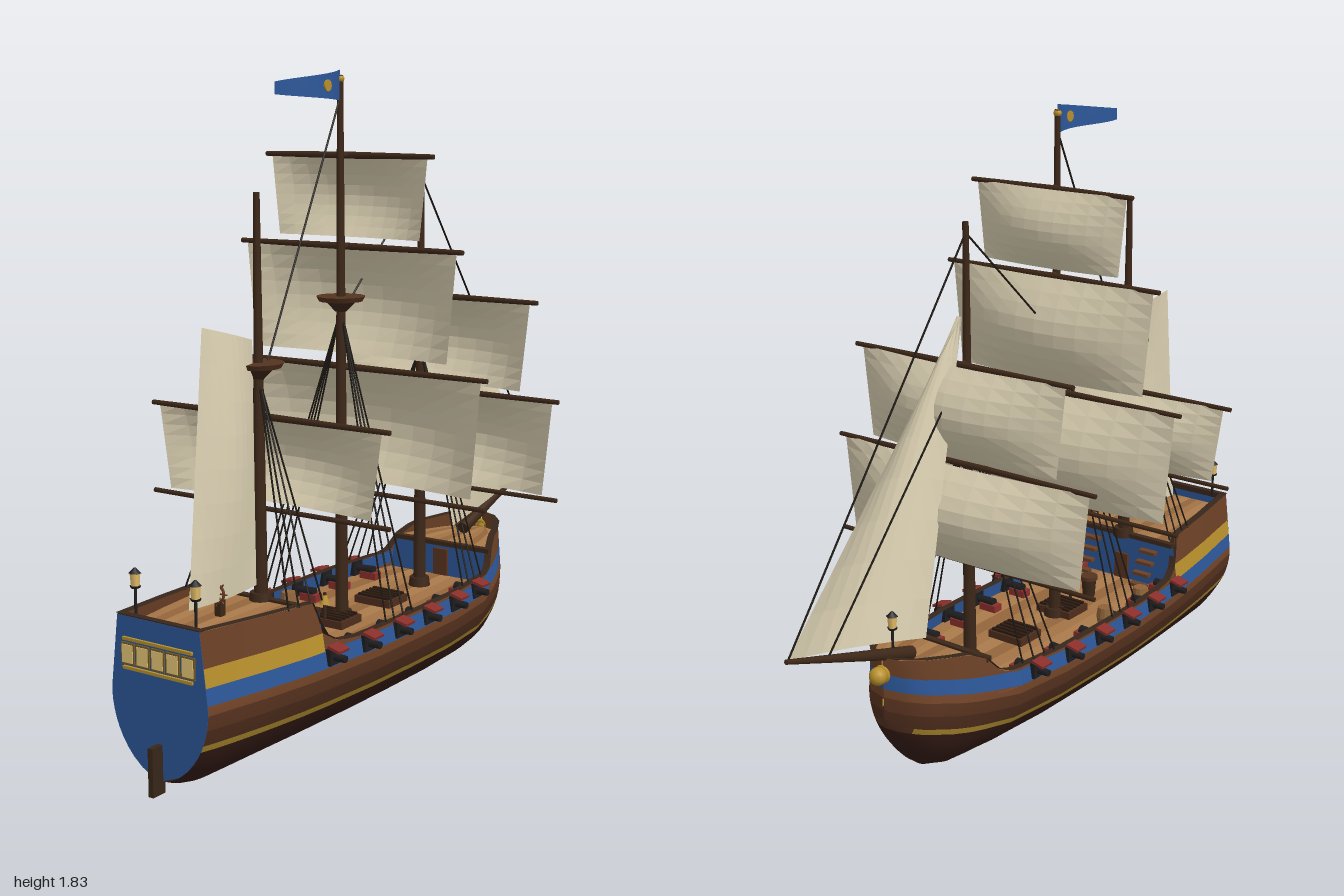
import * as THREE from 'three';

const WOOD = 0x3d2718, GOLD = 0xb8902c, BLUE = 0x2c5799, CANVAS = 0xddd2b4, ROPE = 0x1c1712, RED = 0x8a2f2a, IRON = 0x1e1e20;

// Piecewise-linear lookup over [z, value] pairs sorted by falling z
function lookup(table, z) {
  if (z >= table[0][0]) return table[0][1];
  for (let i = 1; i < table.length; i++) {
    const [z0, a] = table[i - 1], [z1, b] = table[i];
    if (z >= z1) return a + (b - a) * (z - z0) / (z1 - z0);
  }
  return table[table.length - 1][1];
}

// Hull lines: half beam, keel height, rail height and rise of the strakes at the bow
const BEAM = [[.96, .16], [.75, .193], [.5, .222], [.3, .238], [.1, .242], [-.1, .24], [-.3, .217], [-.4, .188], [-.5, .152], [-.58, .108], [-.62, .063], [-.64, .003]];
const KEEL = [[.96, .03], [.92, .012], [.87, 0], [-.44, 0], [-.5, .02], [-.55, .06], [-.6, .125], [-.63, .185], [-.64, .22]];
const SHEER = [[.96, .45], [.55, .43], [.535, .345], [.48, .312], [.4, .303], [-.33, .303], [-.36, .315], [-.4, .36], [-.45, .385], [-.64, .405]];
const RISE = [[.96, .012], [.6, 0], [-.3, 0], [-.45, .02], [-.64, .06]];
const keel = z => lookup(KEEL, z), sheer = z => lookup(SHEER, z);
function halfWidth(z, y) {
  const k = keel(z), t = THREE.MathUtils.clamp((y - k) / (.25 - k), 0, 1);
  const round = Math.pow(1 - (1 - t) ** 2, .6);
  return lookup(BEAM, z) * round * (1 - .75 * Math.max(0, y - .25));
}

export function createModel() {
  const root = new THREE.Group();
  const mats = new Map();
  const mat = (color, flat) => {
    const key = color + (flat ? 'f' : 's');
    if (!mats.has(key)) mats.set(key, new THREE.MeshStandardMaterial({ color, flatShading: !!flat, side: THREE.DoubleSide }));
    return mats.get(key);
  };
  const add = (name, geo, color, pos = [0, 0, 0], flat = false) => {
    const m = new THREE.Mesh(geo, mat(color, flat));
    m.name = name;
    m.position.set(...pos);
    root.add(m);
    return m;
  };
  const box = (name, w, h, d, color, pos) => add(name, new THREE.BoxGeometry(w, h, d), color, pos);
  const cyl = (name, r1, r2, h, color, pos, sides = 12) => add(name, new THREE.CylinderGeometry(r1, r2, h, sides), color, pos);
  // Grid surface whose points come from f(u, v), both 0..1
  const surface = (name, f, nu, nv, color, flat = false) => {
    const g = new THREE.PlaneGeometry(1, 1, nu, nv), p = g.attributes.position, uv = g.attributes.uv;
    for (let i = 0; i < p.count; i++) p.setXYZ(i, ...f(uv.getX(i), uv.getY(i)));
    g.computeVertexNormals();
    return add(name, g, color, [0, 0, 0], flat);
  };
  // Round bar from a to b
  const rod = (name, a, b, r1, r2, color, sides = 8) => {
    const A = new THREE.Vector3(...a), B = new THREE.Vector3(...b), d = B.clone().sub(A);
    const m = cyl(name, r2, r1, d.length(), color, A.clone().lerp(B, .5).toArray(), sides);
    m.quaternion.setFromUnitVectors(new THREE.Vector3(0, 1, 0), d.normalize());
    return m;
  };

  // Hull strakes: lower edge, upper edge, colour, z range
  const strakes = [
    ['bottomPlanking', 0, .125, 0x351c16, .96, -.64],
    ['lowerStripe', .125, .143, 0xa8862c, .96, -.6],
    ['lowerBowStripe', .125, .143, 0x55321f, -.6, -.64],
    ['sidePlanking', .143, .185, 0x4e2d1c, .96, -.64],
    ['upperPlanking', .185, .225, 0x5a3420, .96, -.64],
    ['wale', .225, .25, 0x744528, .96, -.64],
    ['blueStrake', .25, .295, BLUE, .96, -.64],
    ['quarterStripe', .295, .345, GOLD, .96, .535],
    ['quarterPlanking', .345, 1, 0x6b4025, .96, .535],
    ['bulwark', .295, 1, 0x6b4025, .535, -.64],
  ];
  for (const side of [-1, 1]) {
    for (const [name, lo, hi, color, z0, z1] of strakes) {
      surface(name, (u, v) => {
        const z = z0 + (z1 - z0) * u, k = keel(z), s = sheer(z), r = lookup(RISE, z);
        const a = lo ? THREE.MathUtils.clamp(lo + r, k, s) : k;
        const b = THREE.MathUtils.clamp(hi + r, k, s);
        const y = a + (b - a) * (lo ? v : v * v);
        return [side * halfWidth(z, y), y, z];
      }, Math.max(4, Math.ceil((z0 - z1) * 50)), lo ? 2 : 10, color);
    }
    // Capping rail, a rectangular section swept along the sheer
    surface('rail', (u, v) => {
      const z = .96 - 1.6 * v, s = sheer(z), drop = .015 + .2 * (s - .3), i = Math.round(u * 4) % 4;
      const x = halfWidth(z, s) + (i === 0 || i === 3 ? .006 : -.014);
      return [side * Math.max(0, x), s + (i < 2 ? (i === 0 ? -drop : .003) : (i === 2 ? -drop : .003)) * 1, z];
    }, 1, 80, 0x38261a, true);
    surface('railTop', (u, v) => {
      const z = .96 - 1.6 * v, s = sheer(z);
      return [side * Math.max(0, halfWidth(z, s) + .006 - .024 * u), s + .003, z];
    }, 1, 80, 0x38261a);
  }

  // Decks laid in planks of two tones, with bulkheads at the breaks
  const decks = [['poopDeck', .955, .537, .405], ['mainDeck', .537, -.39, .25], ['foreDeck', -.39, -.637, .355]];
  for (const [name, z0, z1, y] of decks)
    for (let i = 0; i < 10; i++)
      surface(name + 'Plank', (u, v) => {
        const z = z0 + (z1 - z0) * v;
        return [halfWidth(z, y) * ((i + u) / 5 - 1), y, z];
      }, 1, 20, [0xa37345, 0x94663b, 0xab7c4c][i % 3]);
  for (const [z, top] of [[.537, .405], [-.39, .355]]) {
    surface('bulkhead', (u, v) => {
      const y = .25 + (top - .25) * v;
      return [halfWidth(z, y) * (2 * u - 1), y, z];
    }, 4, 4, BLUE);
    box('deckBeam', 2 * halfWidth(z, top), .014, .02, WOOD, [0, top, z]);
    box('cabinDoor', .05, .085, .012, 0x5a3420, [0, .295, z + (z > 0 ? -.004 : .004)]);
  }

  // Transom with stern windows, trims and rudder
  const outline = new THREE.Shape(), rows = 18;
  for (let i = 0; i <= rows; i++) { const y = .03 + .42 * i / rows; outline.lineTo(halfWidth(.96, y), y); }
  for (let i = rows; i >= 0; i--) { const y = .03 + .42 * i / rows; outline.lineTo(-halfWidth(.96, y), y); }
  add('transom', new THREE.ExtrudeGeometry(outline, { depth: .004, bevelEnabled: false }), BLUE, [0, 0, .957]);
  for (let i = -2; i <= 2; i++) {
    box('sternWindowFrame', .044, .058, .006, 0x7a5c22, [i * .05, .352, .962]);
    box('sternWindow', .036, .048, .008, 0xe8c878, [i * .05, .352, .963]);
  }
  for (const y of [.315, .392]) box('sternTrim', .23, .008, .01, GOLD, [0, y, .963]);
  box('sternRail', .27, .018, .02, 0x38261a, [0, .444, .95]);
  box('rudder', .016, .13, .046, 0x38261a, [0, .065, .977]);

  // Masts, tops and bowsprit
  const masts = [
    { z: .16, base: .25, top: 1.81, nest: 1.19, foot: .31 },
    { z: .54, base: .4, top: 1.505, nest: 1.05, foot: .43 },
    { z: -.26, base: .25, top: 1.55, nest: 1.035, foot: .31 },
  ];
  for (const m of masts) {
    rod('mast', [0, m.base, m.z], [0, m.top, m.z], .02, .009, WOOD, 10);
    cyl('mastCollar', .03, .034, .03, WOOD, [0, m.base + .012, m.z]);
    cyl('mastTop', .07, .062, .014, 0x553420, [0, m.nest, m.z], 16);
    cyl('mastTopBracket', .045, .016, .03, WOOD, [0, m.nest - .022, m.z], 10);
    for (const side of [-1, 1]) for (const dz of [-.02, .025, .07, .11]) {
      const z = m.z + dz;
      rod('shroud', [0, m.nest - .03, m.z], [side * halfWidth(z, m.foot), m.foot, z], .0027, .0027, ROPE, 5);
    }
  }
  rod('bowsprit', [0, .375, -.52], [0, .528, -1], .02, .007, WOOD, 10);

  // Square sails: yard z, top, bottom, half widths, yard half length, belly
  const sails = [
    [.125, 1.59, 1.36, .265, .24, .285, .06], [.125, 1.335, 1.025, .36, .33, .38, .08], [.125, .99, .655, .44, .41, .46, .1],
    [-.29, 1.157, .89, .36, .33, .385, .085], [-.29, .87, .585, .44, .41, .46, .105], [.51, .905, .665, .375, .34, .4, .085],
  ];
  for (const [z, top, bot, wt, wb, yard, belly] of sails) {
    surface('squareSail', (u, v) => {
      const s = 2 * u - 1, w = wb + (wt - wb) * v;
      return [s * w, bot + (top - bot) * v, z - belly * (1 - s * s) * (.3 + .7 * Math.sin(Math.PI * v))];
    }, 10, 8, CANVAS, true);
    for (const side of [-1, 1]) rod('yard', [0, top, z], [side * yard, top, z], .01, .007, WOOD);
    rod('yardSling', [0, top, z], [0, top, z + .03], .008, .008, WOOD);
  }
  for (const [y, z, w] of [[.63, .125, .46], [.575, -.29, .46], [.652, .51, .4]])
    rod('lowerYard', [-w, y, z], [w, y, z], .007, .007, WOOD);

  // Fore-and-aft sails, corners given as [y, z]
  const mix = (a, b, t) => a + (b - a) * t;
  const foreAft = (name, c, belly, color = CANVAS) => surface(name, (u, v) => [
    belly * Math.sin(Math.PI * u) * Math.sin(Math.PI * mix(.12, .88, v)),
    mix(mix(c[0][0], c[1][0], u), mix(c[2][0], c[3][0], u), v),
    mix(mix(c[0][1], c[1][1], u), mix(c[2][1], c[3][1], u), v)], 8, 8, color, true);
  foreAft('spanker', [[.45, .56], [.45, .84], [1.12, .565], [1.175, .77]], .035);
  foreAft('jib', [[.395, -.455], [.53, -.995], [1.29, -.28], [1.29, -.285]], .045);

  // Stays
  for (const [a, b] of [
    [[1.52, -.26], [.527, -.995]], [[1.17, -.26], [.48, -.85]], [[1.52, -.26], [1.15, .15]], [[1.75, .16], [.97, .54]],
  ]) rod('stay', [0, ...a], [0, ...b], .003, .003, ROPE, 5);

  // Pennant
  surface('pennant', (u, v) => [.022 * Math.sin(u * 5), mix(mix(1.74, 1.757, u), mix(1.825, 1.79, u), v), .16 + .27 * u], 12, 2, BLUE);
  const disc = cyl('pennantDisc', .016, .016, .006, GOLD, [.022, 1.781, .25]);
  disc.rotation.z = Math.PI / 2;
  add('mastheadBall', new THREE.SphereGeometry(.012, 10, 8), GOLD, [0, 1.8, .16]);

  // Guns with raised port lids
  for (const side of [-1, 1]) for (let i = 0; i < 6; i++) {
    const z = .51 - i * .148, x = halfWidth(z, .28);
    box('gunPort', .02, .046, .046, IRON, [side * x, .278, z]);
    const lid = box('portLid', .04, .008, .046, RED, [side * (x + .02), .303, z]);
    lid.rotation.z = -side * .25;
    rod('gunBarrel', [side * (x - .07), .278, z], [side * (x + .045), .276, z], .014, .01, IRON, 10);
    box('gunCarriage', .06, .022, .034, RED, [side * (x - .055), .262, z]);
  }

  // Lanterns: two at the stern, one at the bow
  for (const [x, y, z, h] of [[-.1, .44, .93, .08], [.1, .44, .93, .08], [0, .4, -.595, .075]]) {
    cyl('lanternPost', .004, .004, h, IRON, [x, y + h / 2, z], 6);
    cyl('lanternGlass', .014, .011, .036, 0xe8c06a, [x, y + h + .018, z], 6);
    cyl('lanternCap', .003, .017, .014, IRON, [x, y + h + .043, z], 6);
    cyl('lanternBase', .015, .012, .006, IRON, [x, y + h, z], 6);
  }

  // Figurehead
  add('figurehead', new THREE.SphereGeometry(.026, 12, 10), GOLD, [0, .355, -.658]);
  add('figureheadCollar', new THREE.TorusGeometry(.02, .007, 6, 12), GOLD, [0, .355, -.64]);

  // Hatches with grating bars
  for (const z of [-.045, .2]) {
    box('hatchCoaming', .125, .024, .1, 0x4e2d1c, [0, .26, z]);
    for (let i = 0; i < 5; i++) box('hatchBar', .108, .008, .01, 0x2b1a10, [0, .275, z - .038 + i * .019]);
  }

  // Capstan, barrels, bell and ladders
  cyl('capstan', .024, .019, .06, WOOD, [0, .28, .345]);
  cyl('capstanHead', .028, .028, .012, 0x553420, [0, .314, .345]);
  const cask = [[0, 0], [.022, 0], [.027, .03], [.022, .06], [0, .06]].map(p => new THREE.Vector2(...p));
  for (const z of [.19, .385]) add('barrel', new THREE.LatheGeometry(cask, 12), 0x8d6238, [-.17, .25, z], true);
  add('bell', new THREE.CylinderGeometry(.006, .016, .026, 10), GOLD, [0, .33, .245]);
  rod('bellPost', [0, .25, .245], [0, .35, .245], .005, .005, WOOD);
  for (const side of [-1, 1]) for (let i = 0; i < 4; i++)
    box('ladderStep', .06, .01, .022, 0x6b4025, [side * .11, .275 + i * .032, .465 + i * .018]);

  // Steering wheel
  box('wheelPost', .02, .06, .02, WOOD, [0, .435, .715]);
  add('wheelRim', new THREE.TorusGeometry(.026, .004, 6, 16), 0x6b3a22, [0, .47, .73]);
  for (let i = 0; i < 4; i++) {
    const a = i * Math.PI / 4, c = .036 * Math.cos(a), s = .036 * Math.sin(a);
    rod('wheelSpoke', [-c, .47 - s, .73], [c, .47 + s, .73], .0025, .0025, 0x6b3a22, 5);
  }
  return root;
}
